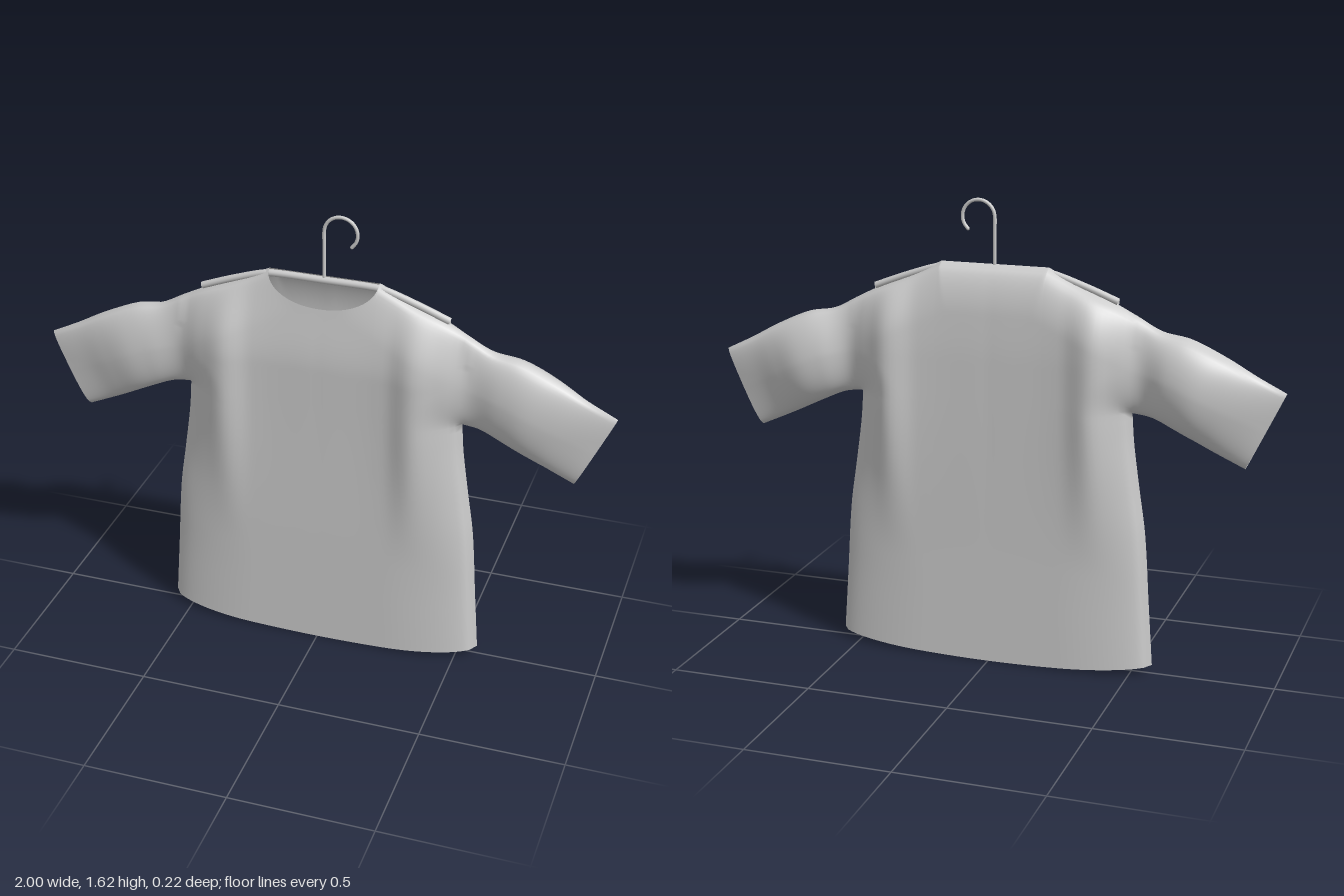
import * as THREE from 'three';
import { mergeGeometries, mergeVertices } from 'three/addons/utils/BufferGeometryUtils.js';

// Smooth interpolation through [key, value] pairs, clamped at both ends
function curve(pts) {
  const slope = i => {
    const a = pts[Math.max(i - 1, 0)], b = pts[Math.min(i + 1, pts.length - 1)];
    return (b[1] - a[1]) / (b[0] - a[0]);
  };
  return k => {
    if (k <= pts[0][0]) return pts[0][1];
    for (let i = 0; i < pts.length - 1; i++) {
      const [k0, v0] = pts[i], [k1, v1] = pts[i + 1];
      if (k > k1) continue;
      const h = k1 - k0, t = (k - k0) / h, t2 = t * t, t3 = t2 * t;
      return v0 * (2 * t3 - 3 * t2 + 1) + slope(i) * h * (t3 - 2 * t2 + t)
        + v1 * (3 * t2 - 2 * t3) + slope(i + 1) * h * (t3 - t2);
    }
    return pts[pts.length - 1][1];
  };
}

const { lerp, smoothstep } = THREE.MathUtils;
const NECK = 0.19, SEAM = 0.485, ARMPIT = 0.925, CUFF_X = 0.872, NECK_Y = 1.4;

// Half outline of the shirt
const shoulder = curve([[0.19, 1.4], [0.3, 1.345], [0.42, 1.295], [0.5, 1.255], [0.58, 1.213],
  [0.68, 1.193], [0.8, 1.14], [0.9, 1.085], [1, 1.035]]);
const underarm = curve([[0.485, 0.925], [0.55, 0.915], [0.62, 0.885], [0.75, 0.822], [0.872, 0.767]]);
const halfWidth = curve([[0.03, 0.572], [0.25, 0.556], [0.5, 0.538], [0.66, 0.515], [0.82, 0.493], [0.925, 0.485]]);

// Fullness of the cloth from the centre out to the cuff
const fullFront = curve([[0, 0.078], [0.24, 0.083], [0.33, 0.108], [0.42, 0.08], [0.51, 0.046],
  [0.61, 0.062], [0.7, 0.068], [0.8, 0.054], [0.9, 0.034], [1, 0.018]]);
const fullBack = curve([[0, 0.08], [0.26, 0.088], [0.36, 0.114], [0.44, 0.08], [0.52, 0.052],
  [0.61, 0.085], [0.7, 0.095], [0.8, 0.072], [0.9, 0.042], [1, 0.018]]);

// Closed edges, where front and back cloth meet
const edges = [
  s => [lerp(NECK, 1, s), shoulder(lerp(NECK, 1, s))],
  s => [lerp(SEAM, CUFF_X, s), underarm(lerp(SEAM, CUFF_X, s))],
  s => [halfWidth(lerp(0.03, ARMPIT, s)), lerp(0.03, ARMPIT, s)],
].map(f => Array.from({ length: 81 }, (_, i) => f(i / 80)));

function edgeDistance(x, y, back) {
  let best = back && x < NECK ? Math.abs(NECK_Y - y) : 9;
  for (const line of edges) {
    for (let i = 0; i < line.length - 1; i++) {
      const [ax, ay] = line[i], dx = line[i + 1][0] - ax, dy = line[i + 1][1] - ay;
      const t = THREE.MathUtils.clamp(((x - ax) * dx + (y - ay) * dy) / (dx * dx + dy * dy), 0, 1);
      best = Math.min(best, Math.hypot(x - ax - t * dx, y - ay - t * dy));
    }
  }
  return Math.max(0, best - 0.0006);
}

// Cloth depth: rounded in from the closed edges, fuller at chest and sleeves
function depth(px, y, back) {
  const x = Math.abs(px);
  const along = x + 0.45 * (1.035 - y) * smoothstep(x, 0.5, 0.85);
  let full = lerp(back ? 0.078 : 0.083, (back ? fullBack : fullFront)(along), smoothstep(y, 0.35, 0.95));
  if (x < 0.5) full *= 1 - (back ? 0.15 : 0.45) * smoothstep(y, 1.08, 1.4);
  const reach = lerp(0.32, 0.16, smoothstep(y, 0.2, 0.9));
  const d = Math.min(edgeDistance(x, y, back) / reach, 1);
  return (back ? -1 : 1) * full * Math.sqrt(1 - (1 - d) ** 2);
}

// Grid of cloth; place(u, v) gives x and y
function panel(place, nu, nv, back, flip) {
  const pos = [], index = [];
  for (let j = 0; j <= nv; j++) {
    for (let i = 0; i <= nu; i++) {
      const [x, y] = place(i / nu, j / nv);
      pos.push(x, y, depth(x, y, back));
      if (i === nu || j === nv) continue;
      const a = j * (nu + 1) + i, b = a + 1, c = a + nu + 1, d = c + 1;
      index.push(...(flip ? [a, d, b, a, c, d] : [a, b, d, a, d, c]));
    }
  }
  const g = new THREE.BufferGeometry();
  g.setAttribute('position', new THREE.Float32BufferAttribute(pos, 3));
  g.setIndex(index);
  return g;
}

// Column position, with columns lined up on the corners of the neck
function column(u) {
  const k = Math.abs(u * 2 - 1), s = Math.sign(u - 0.5);
  return s * (k <= 0.5 ? NECK * Math.sin(k * Math.PI) : lerp(NECK, SEAM, k * 2 - 1));
}

function topEdge(x, back) {
  const k = Math.abs(x);
  if (k >= NECK - 1e-6) return shoulder(k);
  return back ? NECK_Y : NECK_Y - 0.1 * Math.sqrt(1 - (k / NECK) ** 2);
}

function shirtGeometry() {
  const parts = [];
  for (const back of [false, true]) {
    // Body below the armpits
    parts.push(panel((u, v) => {
      const k = column(u) / SEAM, y = lerp(0.03 * k * k, ARMPIT, v);
      return [k * halfWidth(y), y];
    }, 64, 40, back, back));
    // Chest and shoulders
    parts.push(panel((u, v) => {
      const x = column(u);
      return [x, lerp(ARMPIT, topEdge(x, back), v)];
    }, 64, 30, back, back));
    // Sleeves
    for (const side of [1, -1]) {
      parts.push(panel((u, v) => {
        const bx = lerp(SEAM, CUFF_X, u), tx = lerp(SEAM, 1, u);
        return [side * lerp(bx, tx, v), lerp(underarm(bx), shoulder(tx), v)];
      }, 32, 30, back, back !== (side < 0)));
    }
  }
  const g = mergeVertices(mergeGeometries(parts), 1e-4);
  g.computeVertexNormals();
  return g;
}

export function createModel() {
  const model = new THREE.Group();
  const grey = new THREE.MeshStandardMaterial({ color: 0xcccccc, side: THREE.DoubleSide });
  grey.name = 'light grey';
  const add = (name, geometry, parent) => {
    const m = new THREE.Mesh(geometry, grey);
    m.name = name;
    parent.add(m);
    return m;
  };

  add('shirt', shirtGeometry(), model);

  const hanger = new THREE.Group();
  hanger.name = 'hanger';
  model.add(hanger);

  // Shoulder bar, with a closed disc at each end
  const barPoints = [[-0.43, 1.3], [-0.32, 1.342], [-0.2, 1.38], [-0.16, 1.383], [0, 1.383],
    [0.16, 1.383], [0.2, 1.38], [0.32, 1.342], [0.43, 1.3]].map(([x, y]) => new THREE.Vector3(x, y, 0));
  add('hangerBar', new THREE.TubeGeometry(new THREE.CatmullRomCurve3(barPoints), 60, 0.012, 12), hanger);
  for (const side of [1, -1]) {
    const cap = add('barEnd', new THREE.CircleGeometry(0.012, 12), hanger);
    cap.position.set(side * 0.43, 1.3, 0);
    cap.rotation.set(0, side * Math.PI / 2, 0);
    cap.rotation.z = -side * 0.37;
  }

  // Wire hook
  const hookPoints = [1.385, 1.45, 1.52].map(y => new THREE.Vector3(0, y, 0));
  for (let i = 0; i <= 10; i++) {
    const a = Math.PI - i / 10 * Math.PI * 1.27;
    hookPoints.push(new THREE.Vector3(0.057 + 0.057 * Math.cos(a), 1.557 + 0.057 * Math.sin(a), 0));
  }
  add('hook', new THREE.TubeGeometry(new THREE.CatmullRomCurve3(hookPoints), 60, 0.006, 10), hanger);
  const tip = add('hookTip', new THREE.SphereGeometry(0.006, 10, 8), hanger);
  tip.position.copy(hookPoints[hookPoints.length - 1]);
  return model;
}
